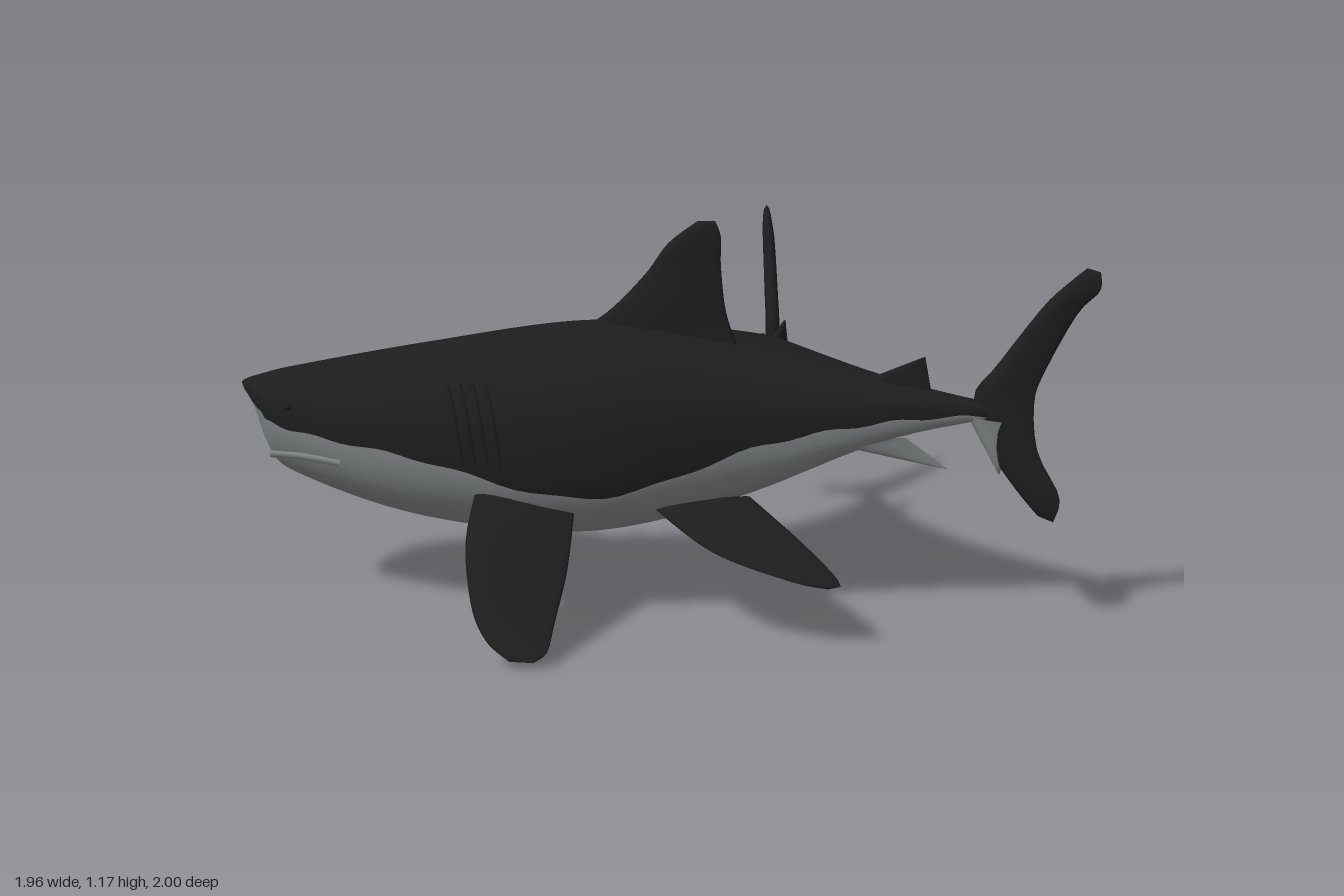
import * as THREE from 'three';

const dark = new THREE.MeshStandardMaterial({ color: 0x1d1d1d, side: THREE.DoubleSide });
dark.name = 'charcoalSkin';
const pale = new THREE.MeshStandardMaterial({ color: 0x7e8282, side: THREE.DoubleSide });
pale.name = 'greyBelly';

// Smooth interpolation through rows of numbers, s counted in rows
function spline(rows, s) {
  const n = rows.length - 1;
  const i = Math.min(Math.floor(s), n - 1), t = s - i;
  const [p, a, b, q] = [i - 1, i, i + 1, i + 2].map(k => rows[Math.max(0, Math.min(n, k))]);
  return a.map((v, k) => {
    const m0 = (b[k] - p[k]) / 2, m1 = (q[k] - v) / 2;
    return v + t * (m0 + t * (3 * (b[k] - v) - 2 * m0 - m1 + t * (2 * (v - b[k]) + m0 + m1)));
  });
}

// Skins closed rings; the first columns of quads get one material, the rest the other
function skin(name, rings, split, flip, mats) {
  const n = rings[0].length, index = [];
  for (let j = 0; j < n; j++) {
    for (let i = 0; i < rings.length - 1; i++) {
      const a = i * n + j, b = i * n + (j + 1) % n, c = a + n, d = b + n;
      if (flip) index.push(a, c, b, b, c, d);
      else index.push(a, b, c, b, d, c);
    }
  }
  const geo = new THREE.BufferGeometry().setFromPoints(rings.flat());
  geo.setIndex(index);
  const first = split * (rings.length - 1) * 6;
  geo.addGroup(0, first, 0);
  geo.addGroup(first, index.length - first, 1);
  geo.computeVertexNormals();
  const mesh = new THREE.Mesh(geo, mats);
  mesh.name = name;
  return mesh;
}

// Body sections: right flank x z, left flank x z, forward bulge, top, bottom, flank height, colour seam
const sections = [
  [-.95, .96, -.945, .965, 0, .652, .64, .646, .645],
  [-.972, .90, -.89, .988, .025, .668, .60, .645, .635],
  [-.98, .82, -.80, .995, .035, .685, .47, .62, .605],
  [-.95, .70, -.68, .965, .02, .715, .38, .58, .56],
  [-.75, .37, -.33, .73, 0, .795, .26, .52, .50],
  [-.51, 0, .05, .35, 0, .865, .22, .50, .39],
  [-.40, -.33, .31, -.10, .02, .825, .31, .56, .54],
  [-.465, -.68, .55, -.43, .07, .75, .48, .625, .612],
  [-.62, -.87, .78, -.675, .18, .675, .605, .645, .635],
  [-.63, -.88, .79, -.685, .18, .647, .638, .643, .641],
];
const last = sections.length - 1;
const fullness = s => 1 - .4 * s / last;

// Point on the body skin: s along the sections, a round the section from the left flank
function bodyPoint(s, a) {
  const [rx, rz, lx, lz, bulge, top, bottom, edge] = spline(sections, s);
  const u = Math.cos(a), v = Math.sin(a);
  const h = Math.pow(Math.abs(v), fullness(s)), push = bulge * (1 - u * u);
  // the jaw is set back under the snout
  const jaw = v < 0 ? .055 * h * Math.max(0, 1 - s / 4) : 0;
  return new THREE.Vector3(
    (rx + lx + u * (lx - rx)) / 2 - .4 * push + jaw,
    edge + h * (v > 0 ? top - edge : bottom - edge),
    (rz + lz + u * (lz - rz)) / 2 + .9 * push - jaw);
}

function makeBody() {
  const rings = [], half = 28, count = 108;
  for (let i = 0; i <= count; i++) {
    const s = i / count * last;
    const [, , , , , , bottom, edge, seam] = spline(sections, s);
    const wave = .005 * Math.sin(s * 12) * Math.min(1, s / 4);
    const drop = THREE.MathUtils.clamp((edge - seam - wave) / (edge - bottom), 0, .95);
    const a0 = -Math.asin(Math.pow(drop, 1 / fullness(s)));
    const ring = [];
    for (let j = 0; j < half; j++) ring.push(bodyPoint(s, a0 + (Math.PI - 2 * a0) * j / half));
    for (let j = 0; j < half; j++) ring.push(bodyPoint(s, Math.PI - a0 + (Math.PI + 2 * a0) * j / half));
    rings.push(ring);
  }
  return skin('body', rings, half, true, [dark, pale]);
}

// Fin from rows of leading point + trailing point, with a lens section
function makeFin(name, rows, thick, mats, bothEnds = false) {
  const m = 10, count = 24, rings = [], end = rows.length - 1;
  const edges = s => {
    const r = spline(rows, s);
    return [new THREE.Vector3(...r.slice(0, 3)), new THREE.Vector3(...r.slice(3))];
  };
  for (let i = 0; i <= count; i++) {
    const f = i / count, s = f * end;
    const [lead, trail] = edges(s);
    const [l0, t0] = edges(Math.max(0, s - .1)), [l1, t1] = edges(Math.min(end, s + .1));
    const chord = trail.clone().sub(lead), span = l1.add(t1).sub(l0).sub(t0);
    const normal = chord.clone().cross(span).normalize();
    const taper = Math.sqrt(bothEnds ? 4 * f * (1 - f) : 1 - f);
    const ring = [];
    for (let j = 0; j < 2 * m; j++) {
      const a = Math.PI * j / m, c = (1 - Math.cos(a)) / 2;
      ring.push(lead.clone().addScaledVector(chord, c)
        .addScaledVector(normal, thick * taper * Math.sin(a) * (1.3 - .8 * c)));
    }
    rings.push(ring);
  }
  return skin(name, rings, m, false, mats);
}

// Small pointed fin from its two root corners and its tip
function makeSpike(name, lead, trail, tip, mat, thick = .014) {
  return makeFin(name, [[...lead, ...trail], [...tip, ...tip]], thick, [mat, mat]);
}

function tube(name, points, radius, mat) {
  const mesh = new THREE.Mesh(new THREE.TubeGeometry(new THREE.CatmullRomCurve3(points), 32, radius, 6), mat);
  mesh.name = name;
  return mesh;
}

export function createModel() {
  const model = new THREE.Group();
  model.name = 'twoTailedShark';
  model.add(makeBody());

  model.add(makeFin('dorsalFin', [
    [-.30, .80, .22, .11, .78, -.17], [-.19, .89, .12, .072, .90, -.145], [-.11, 1.01, .03, .055, 1.04, -.137],
    [-.055, 1.11, -.02, .05, 1.13, -.14], [0, 1.178, -.09, .035, 1.178, -.13],
  ], .035, [dark, dark]));

  // Front fins, dark above and pale below
  model.add(makeFin('leftPectoralFin', [
    [-.25, .42, .55, -.02, .34, .36], [-.07, .30, .71, .10, .21, .47], [.08, .16, .79, .22, .10, .60],
    [.17, .08, .80, .285, .05, .67], [.25, .035, .775, .29, .03, .72],
  ], .022, [pale, dark]));
  model.add(makeFin('rightPectoralFin', [
    [-.60, .40, .22, -.42, .30, -.02], [-.75, .255, .14, -.58, .195, -.10], [-.87, .14, .03, -.72, .09, -.155],
    [-.905, .08, -.05, -.80, .035, -.165], [-.90, .03, -.11, -.87, .01, -.145],
  ], .022, [dark, pale]));
  model.add(makeFin('pelvicFin', [
    [.10, .34, .15, .22, .36, -.12], [.38, .27, .15, .45, .285, -.11],
    [.59, .215, .04, .62, .22, -.10], [.66, .19, -.05, .675, .195, -.085],
  ], .016, [pale, dark]));

  // Tail fins: distance along the tail and height for both edges
  const tailRows = [
    [.58, .335, .70, .32], [.38, .42, .74, .40], [.18, .53, .56, .53], [.05, .68, .52, .68],
    [.22, .78, .60, .78], [.55, .96, .82, .95], [.72, 1.03, .98, 1.02], [.88, 1.085, .98, 1.075],
  ];
  const tails = [['left', .65, -.60, .33, -.20], ['right', -.53, -.85, -.24, -.155]];
  for (const [side, x, z, dx, dz] of tails) {
    const at = (q, y) => [x + dx * q, y, z + dz * q];
    const rows = tailRows.map(([l, yl, t, yt]) => [...at(l, yl), ...at(t, yt)]);
    model.add(makeFin(side + 'TailFin', rows, .024, [dark, dark], true));
    // pale patch at the front root of the lower lobe
    model.add(makeSpike(side + 'TailPatch', at(0, .63), at(.38, .61), at(.27, .45), pale, .036));
  }

  // Small fins above and below each tail stem
  model.add(makeSpike('leftSecondDorsalFin', [.36, .69, -.38], [.55, .68, -.55], [.53, .79, -.54], dark));
  model.add(makeSpike('rightSecondDorsalFin', [-.29, .69, -.62], [-.38, .67, -.78], [-.365, .75, -.755], dark));
  model.add(makeSpike('leftAnalFin', [.40, .52, -.33], [.53, .55, -.47], [.60, .45, -.58], pale));
  model.add(makeSpike('rightAnalFin', [-.37, .55, -.54], [-.42, .56, -.71], [-.435, .37, -.77], pale));

  // Gill ridges and eyes on both flanks
  for (const side of ['left', 'right']) {
    const turn = a => side === 'left' ? a : Math.PI - a;
    for (let i = 0; i < 4; i++) {
      const points = [-.05, .2, .45, .65].map((a, k) => bodyPoint(4.3 + .07 * i - .03 * k, turn(a)));
      model.add(tube(side + 'Gill', points, .009, dark));
    }
    const eye = new THREE.Mesh(new THREE.SphereGeometry(.012, 12, 8), dark);
    eye.name = side + 'Eye';
    eye.position.copy(bodyPoint(3.05, turn(.3)));
    model.add(eye);
  }

  // Lower lip running round the snout
  const lip = [[3.5, -.3], [3.15, -.42], [2.7, -.7], [2.4, -1.1], [2.3, -Math.PI / 2]];
  const lipRight = lip.slice(0, -1).reverse().map(([s, a]) => [s, -Math.PI - a]);
  model.add(tube('lip', [...lip, ...lipRight].map(([s, a]) => bodyPoint(s, a)), .012, pale));
  return model;
}
